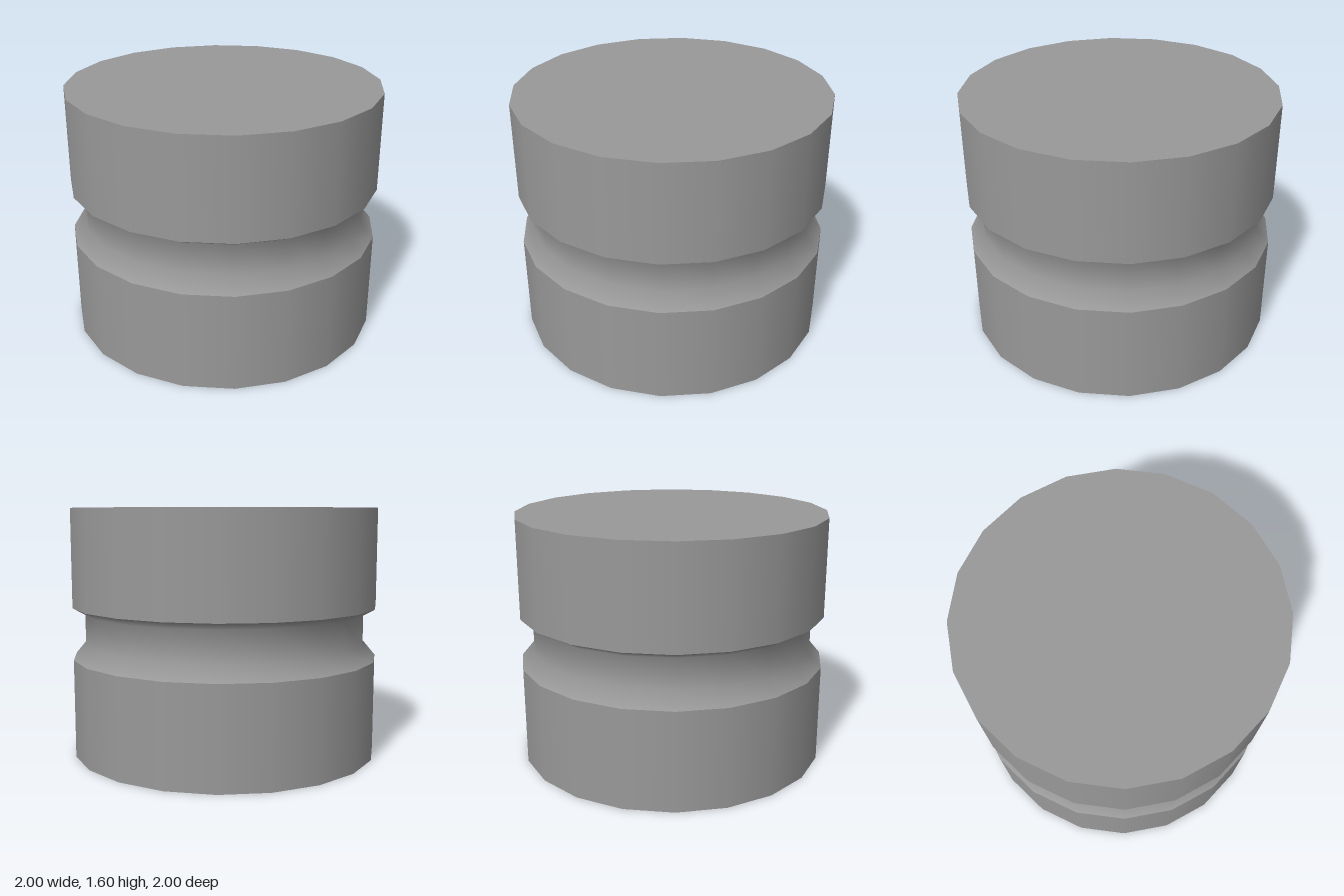
import * as THREE from 'three';

const SIDES = 20;

export function createModel() {
  const group = new THREE.Group();
  const metal = new THREE.MeshStandardMaterial({ color: 0x999999 });
  metal.name = 'grey metal';

  // Each band is its own lathe: smooth within the band, sharp where bands meet.
  // Profiles run counter-clockwise (up the outside, down the inside).
  const band = (name, ...profile) => {
    const points = profile.map(([r, y]) => new THREE.Vector2(r, y));
    const mesh = new THREE.Mesh(new THREE.LatheGeometry(points, SIDES), metal);
    mesh.name = name;
    group.add(mesh);
  };

  // Outside: skirt, waist groove, crown
  band('lowerSkirt', [1, 0], [1, 0.635]);
  band('grooveRing', [1, 0.635], [0.92, 0.73], [0.92, 0.925], [1, 0.97]);
  band('upperCrown', [1, 0.97], [1, 1.6]);
  band('topFace', [1, 1.6], [0, 1.6]);

  // Hollow underside with a tapered boss hanging from its ceiling
  band('bottomRim', [0.935, 0], [1, 0]);
  band('innerWall', [0.935, 0.635], [0.935, 0]);
  band('innerCeiling', [0.53, 0.635], [0.935, 0.635]);
  band('bossSide', [0.41, 0.35], [0.53, 0.635]);
  band('bossFace', [0, 0.35], [0.41, 0.35]);

  return group;
}
